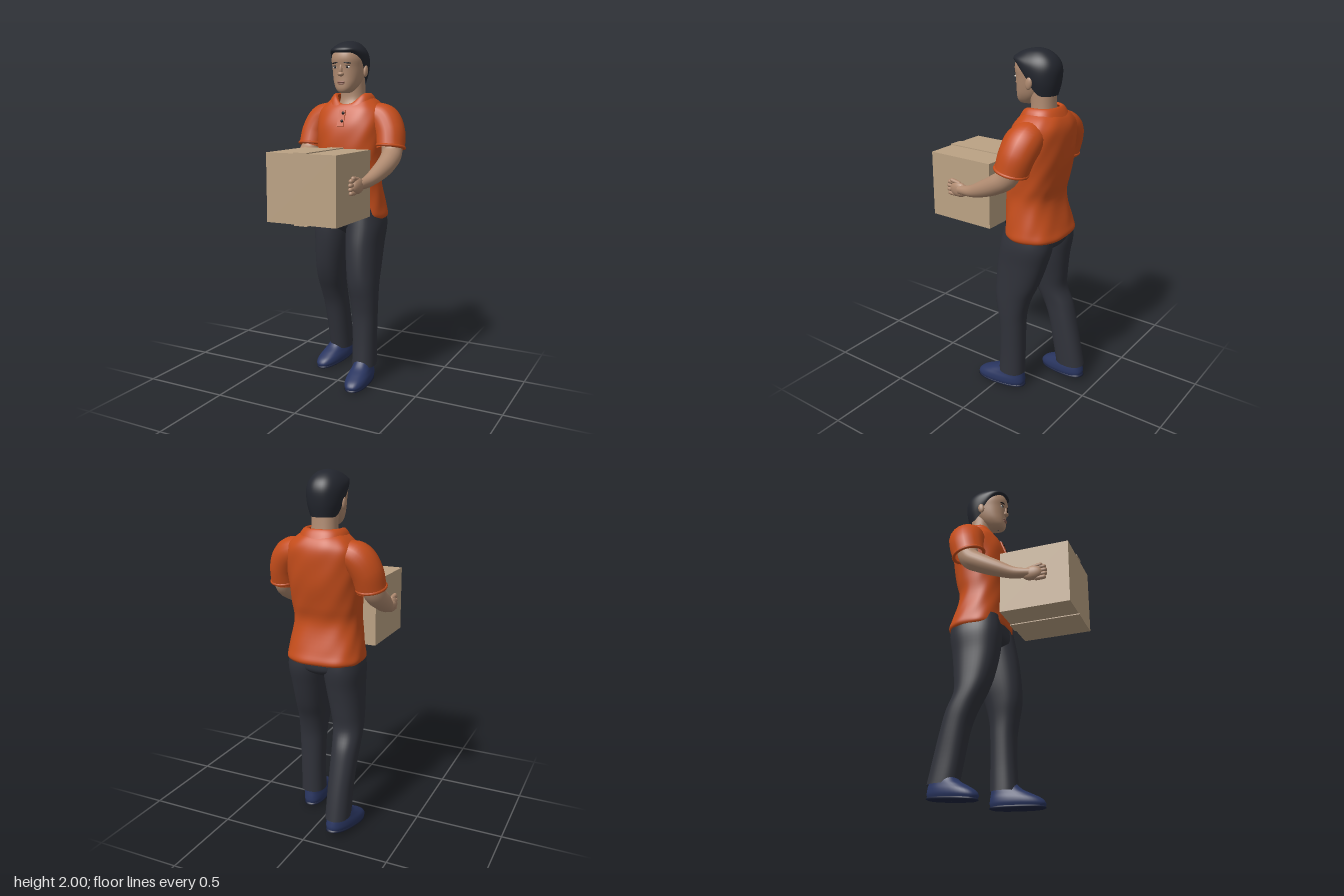
import * as THREE from 'three';

const mat = (name, color, side = THREE.FrontSide) => {
  const m = new THREE.MeshStandardMaterial({ color, side });
  m.name = name;
  return m;
};

// Smooth interpolation through a list of number rows
function sampleRows(rows, t) {
  const f = t * (rows.length - 1), i = Math.min(Math.floor(f), rows.length - 2), u = f - i;
  const at = (k) => rows[Math.max(0, Math.min(rows.length - 1, k))];
  return rows[i].map((_, c) => {
    const [a, b, d, e] = [at(i - 1)[c], at(i)[c], at(i + 1)[c], at(i + 2)[c]];
    return b + 0.5 * u * (d - a + u * (2 * a - 5 * b + 4 * d - e + u * (3 * (b - d) + e - a)));
  });
}

// Stack of rounded rings; rows are [y, centreX, halfWidth, frontZ, backZ, yShift]
// yShift is weighted around the ring by shape(s), s = 1 at the front and -1 at the back
function loft(rows, { pow = 2.3, seg = 40, sub = 5, shape = (s) => Math.max(0, s) ** 3, fold = 0 } = {}) {
  const pos = [], idx = [], n = (rows.length - 1) * sub;
  const sup = (v) => Math.sign(v) * Math.abs(v) ** (2 / pow);
  for (let i = 0; i <= n; i++) {
    const [y, cx, rx, zf, zb, shift = 0] = sampleRows(rows, i / n);
    for (let j = 0; j < seg; j++) {
      const a = (j / seg) * Math.PI * 2, s = Math.sin(a);
      const k = 1 + fold * Math.sin(a * 7 + y * 14) * Math.sin(y * 21 + a * 2);
      pos.push(cx + rx * k * sup(Math.cos(a)), y + shift * shape(s), (zf + zb) / 2 + ((zf - zb) / 2) * k * sup(s));
      if (i < n) {
        const p = i * seg + j, q = i * seg + ((j + 1) % seg);
        idx.push(p, p + seg, q, q, p + seg, q + seg);
      }
    }
  }
  const g = new THREE.BufferGeometry();
  g.setAttribute('position', new THREE.Float32BufferAttribute(pos, 3));
  g.setIndex(idx);
  g.computeVertexNormals();
  return g;
}

// Tapered tube through points, radii spread evenly along its length
function limb(points, radii, depth = 1) {
  const curve = new THREE.CatmullRomCurve3(points.map((p) => new THREE.Vector3(...p)));
  const n = 28, seg = 20, g = new THREE.TubeGeometry(curve, n, 1, seg);
  const pos = g.attributes.position, v = new THREE.Vector3(), rows = radii.map((r) => [r]);
  for (let i = 0; i <= n; i++) {
    const c = curve.getPointAt(i / n), r = sampleRows(rows, i / n)[0];
    for (let j = 0; j <= seg; j++) {
      const k = i * (seg + 1) + j;
      v.fromBufferAttribute(pos, k).sub(c).multiplyScalar(r);
      v.z *= depth;
      v.add(c);
      pos.setXYZ(k, v.x, v.y, v.z);
    }
  }
  return g;
}

export function createModel() {
  const model = new THREE.Group();
  const skin = mat('skin', 0xaf8a70);
  const hair = mat('hair', 0x23262e, THREE.DoubleSide);
  const shirt = mat('orange shirt', 0xc54d1b, THREE.DoubleSide);
  const pants = mat('charcoal trousers', 0x30323a, THREE.DoubleSide);
  const shoe = mat('navy shoe', 0x293560);
  const sole = mat('dark sole', 0x1e2540);
  const card = mat('cardboard', 0xbba284);
  const white = mat('eye white', 0xd8d0c8);
  const lip = mat('lip', 0x96685a);
  const dark = mat('dark detail', 0x1c1a1c);

  const add = (name, geo, m, parent = model) => {
    const mesh = new THREE.Mesh(geo, m);
    mesh.name = name;
    parent.add(mesh);
    return mesh;
  };
  const blob = (name, m, p, r, parent = model) => {
    const b = add(name, new THREE.SphereGeometry(1, 20, 14), m, parent);
    b.position.set(...p);
    b.scale.set(...r);
    return b;
  };

  // Carton with tape strip
  add('carton', new THREE.BoxGeometry(0.42, 0.375, 0.405), card).position.set(0, 1.21, 0.215);
  for (const y of [1.4, 1.02]) add('tape', new THREE.BoxGeometry(0.08, 0.006, 0.413), card).position.set(0, y, 0.215);

  // Shirt body, collar, placket and buttons
  add('shirtBody', loft([
    [0.985, 0, 0.208, -0.022, -0.343, 0.035], [1.005, 0, 0.218, -0.018, -0.35, 0.03],
    [1.06, 0, 0.21, -0.02, -0.332, 0.01], [1.2, 0, 0.19, -0.02, -0.296, 0], [1.3, 0, 0.193, -0.02, -0.315, 0],
    [1.42, 0, 0.2, -0.018, -0.338, 0], [1.52, 0, 0.207, -0.03, -0.345, 0], [1.6, 0, 0.2, -0.06, -0.343, 0],
    [1.65, 0, 0.16, -0.085, -0.325, -0.01], [1.685, 0, 0.115, -0.098, -0.295, -0.04], [1.7, 0, 0.092, -0.108, -0.275, -0.065],
  ], { pow: 2.5, seg: 72, fold: 0.013 }), shirt);
  add('collar', loft([
    [1.655, 0, 0.137, -0.075, -0.32, -0.03], [1.69, 0, 0.12, -0.088, -0.302, -0.05],
    [1.708, 0, 0.1, -0.1, -0.285, -0.065], [1.7, 0, 0.085, -0.112, -0.272, -0.07],
  ], { pow: 2.4, seg: 56 }), shirt);
  const placket = add('placket', new THREE.BoxGeometry(0.04, 0.1, 0.007), shirt);
  placket.position.set(0, 1.565, -0.044);
  placket.rotation.x = -0.36;
  for (const [y, z] of [[1.595, -0.05], [1.55, -0.034]]) blob('button', dark, [0.008, y, z], [0.009, 0.009, 0.005]);

  // Arms, mirrored
  for (const s of [1, -1]) {
    const side = s > 0 ? 'left' : 'right';
    const P = (x, y, z) => [s * x, y, z];
    add(side + 'Sleeve', limb(
      [P(0.11, 1.59, -0.205), P(0.19, 1.56, -0.205), P(0.237, 1.49, -0.19), P(0.255, 1.395, -0.165)],
      [0.065, 0.088, 0.085, 0.08], 1.2), shirt);
    const cuff = add(side + 'Cuff', new THREE.TorusGeometry(0.077, 0.009, 8, 28), shirt);
    cuff.position.set(s * 0.254, 1.404, -0.166);
    cuff.rotation.x = Math.PI / 2 - 0.2;
    cuff.scale.y = 1.18;
    add(side + 'Arm', limb(
      [P(0.252, 1.46, -0.18), P(0.268, 1.37, -0.152), P(0.272, 1.32, -0.08), P(0.262, 1.275, 0.01), P(0.244, 1.235, 0.11), P(0.234, 1.222, 0.2)],
      [0.06, 0.059, 0.054, 0.046, 0.034, 0.026]), skin);

    const hand = new THREE.Group();
    hand.name = side + 'Hand';
    model.add(hand);
    blob('palm', skin, P(0.23, 1.22, 0.21), [0.025, 0.043, 0.06], hand);
    for (let i = 0; i < 4; i++) {
      const f = add('finger', new THREE.CapsuleGeometry(0.0125, 0.045, 4, 10), skin, hand);
      f.position.set(s * 0.224, 1.186 + i * 0.022, 0.255 + 0.008 * Math.sin(i));
      f.rotation.x = Math.PI / 2;
    }
    const thumb = add('thumb', new THREE.CapsuleGeometry(0.0125, 0.05, 4, 10), skin, hand);
    thumb.position.set(s * 0.228, 1.26, 0.235);
    thumb.rotation.x = 1.4;
  }

  // Trousers: pelvis and two stepping legs
  add('pelvis', loft([
    [0.88, 0, 0.02, -0.13, -0.2], [0.92, 0, 0.1, -0.06, -0.29], [0.96, 0, 0.19, -0.025, -0.322], [1.06, 0, 0.195, -0.035, -0.315],
  ]), pants);
  add('leftTrouserLeg', loft([
    [1.06, 0.105, 0.09, -0.035, -0.31], [0.95, 0.108, 0.107, -0.014, -0.322], [0.83, 0.11, 0.1, 0.007, -0.29],
    [0.7, 0.116, 0.093, 0.018, -0.245], [0.6, 0.124, 0.086, 0.016, -0.2], [0.5, 0.132, 0.078, -0.004, -0.174],
    [0.4, 0.134, 0.073, -0.018, -0.168], [0.25, 0.135, 0.069, -0.018, -0.167], [0.105, 0.135, 0.07, -0.01, -0.167],
  ].reverse()), pants);
  add('rightTrouserLeg', loft([
    [1.06, -0.105, 0.09, -0.035, -0.31], [0.95, -0.108, 0.107, -0.022, -0.322], [0.83, -0.112, 0.1, -0.03, -0.302],
    [0.7, -0.125, 0.09, -0.055, -0.284], [0.6, -0.135, 0.083, -0.09, -0.278], [0.5, -0.142, 0.076, -0.14, -0.318],
    [0.4, -0.141, 0.072, -0.18, -0.346], [0.25, -0.138, 0.068, -0.212, -0.383], [0.105, -0.138, 0.067, -0.24, -0.415],
  ].reverse()), pants);

  // Shoes, toes turned outwards, rear heel lifted
  const makeShoe = (name, x, y, z, turn, tilt) => {
    const g = new THREE.Group();
    g.name = name;
    add('upper', loft([
      [0.008, 0, 0.058, 0.148, -0.15], [0.03, 0, 0.066, 0.155, -0.157], [0.055, 0, 0.065, 0.135, -0.156],
      [0.08, 0, 0.058, 0.085, -0.153], [0.105, 0, 0.052, 0.03, -0.15], [0.14, 0, 0.045, -0.01, -0.145],
    ], { pow: 2.4 }), shoe, g);
    add('sole', loft([
      [0, 0, 0.002, 0.002, -0.002], [0.001, 0, 0.056, 0.142, -0.146], [0.012, 0, 0.063, 0.154, -0.156], [0.018, 0, 0.058, 0.148, -0.15],
    ], { pow: 2.4, sub: 2 }), sole, g);
    g.position.set(x, y, z);
    g.rotation.set(tilt, turn, 0, 'YXZ');
    model.add(g);
  };
  makeShoe('leftShoe', 0.14, 0.008, -0.013, 0.08, 0.02);
  makeShoe('rightShoe', -0.155, 0.016, -0.265, -0.2, 0.1);

  // Head
  const head = new THREE.Group();
  head.name = 'head';
  model.add(head);
  add('neck', loft([
    [1.56, 0, 0.09, -0.09, -0.28], [1.63, 0, 0.085, -0.115, -0.275], [1.69, 0, 0.071, -0.132, -0.262], [1.8, 0, 0.07, -0.12, -0.255],
  ]), skin, head);
  add('face', loft([
    [1.706, 0, 0.004, -0.08, -0.09], [1.71, 0, 0.03, -0.053, -0.13], [1.728, 0, 0.051, -0.041, -0.16],
    [1.76, 0, 0.07, -0.039, -0.2], [1.8, 0, 0.082, -0.039, -0.235], [1.85, 0, 0.09, -0.036, -0.265],
    [1.9, 0, 0.094, -0.029, -0.274], [1.945, 0, 0.08, -0.045, -0.25], [1.975, 0, 0.04, -0.1, -0.2], [1.978, 0, 0.002, -0.15, -0.154],
  ]), skin, head);
  blob('noseTip', skin, [0, 1.812, -0.037], [0.019, 0.013, 0.02], head);
  blob('noseBridge', skin, [0, 1.835, -0.04], [0.01, 0.032, 0.014], head);
  blob('upperLip', lip, [0, 1.768, -0.04], [0.025, 0.006, 0.009], head);
  blob('lowerLip', lip, [0, 1.759, -0.04], [0.021, 0.006, 0.01], head);
  for (const s of [1, -1]) {
    blob('eye', white, [s * 0.038, 1.85, -0.046], [0.016, 0.007, 0.007], head);
    blob('iris', dark, [s * 0.038, 1.85, -0.041], [0.006, 0.0065, 0.004], head);
    blob('upperLid', dark, [s * 0.038, 1.857, -0.043], [0.017, 0.002, 0.005], head);
    const brow = blob('eyebrow', dark, [s * 0.039, 1.874, -0.04], [0.023, 0.004, 0.006], head);
    brow.rotation.set(0, s * 0.3, s * -0.1);
    const ear = blob('ear', skin, [s * 0.096, 1.83, -0.162], [0.011, 0.033, 0.02], head);
    ear.rotation.x = -0.15;
  }

  // Short hair with a raised front hairline
  add('hair', loft([
    [1.765, 0, 0.082, -0.028, -0.27, 0.165], [1.83, 0, 0.099, -0.022, -0.285, 0.11], [1.9, 0, 0.101, -0.024, -0.289, 0.05],
    [1.95, 0, 0.086, -0.037, -0.268, 0.012], [1.985, 0, 0.055, -0.078, -0.224, 0], [1.998, 0, 0.022, -0.13, -0.18, 0], [2, 0, 0.001, -0.154, -0.156, 0],
  ], { shape: (s) => THREE.MathUtils.smoothstep(s, -0.6, 0.85), seg: 56 }), hair, head);

  return model;
}
